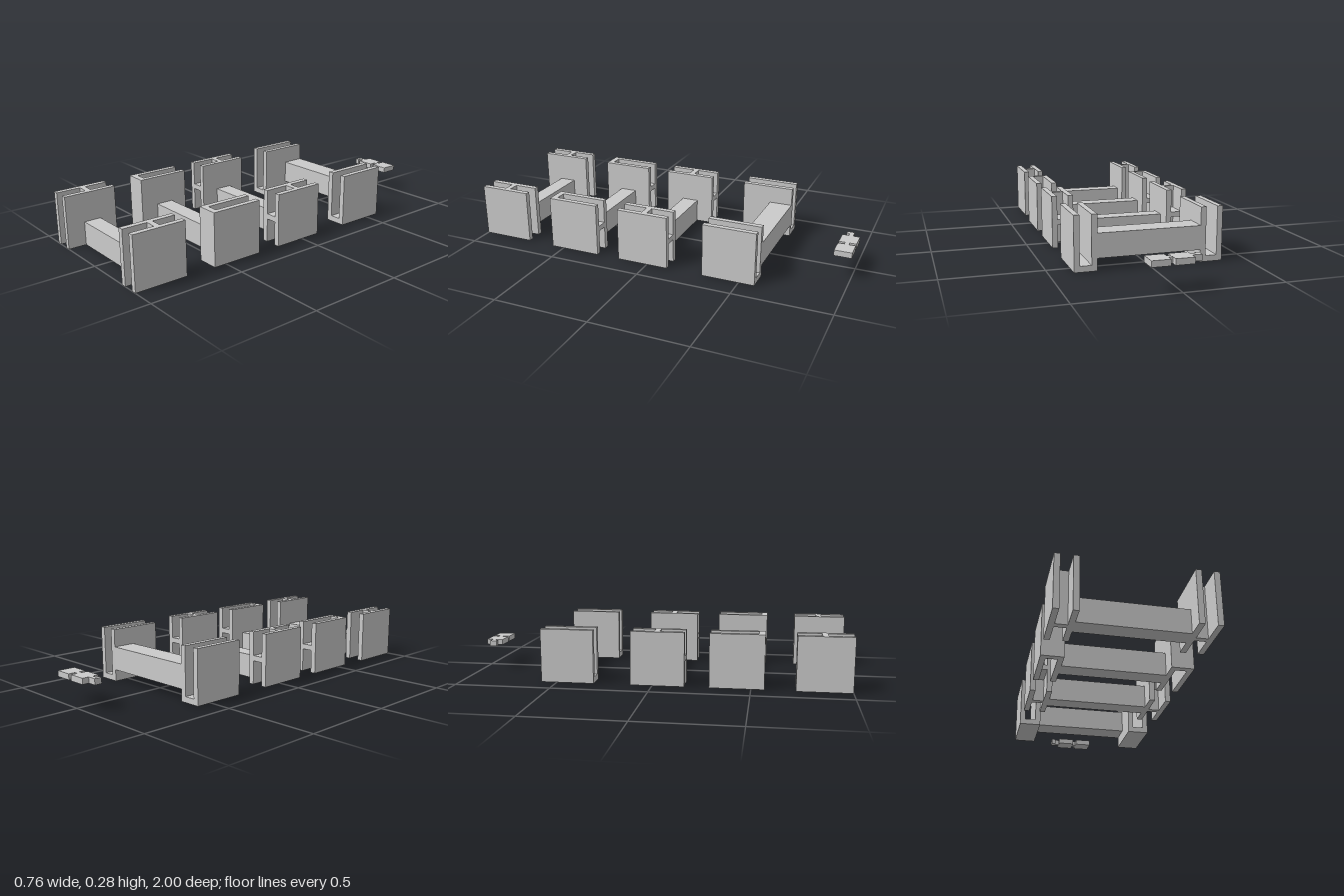
import * as THREE from 'three';

const material = new THREE.MeshStandardMaterial({ color: 0xcccccc, flatShading: true });

// Box given by its lower and upper limits on each axis
function block(parent, name, [x0, x1], [y0, y1], [z0, z1]) {
  const mesh = new THREE.Mesh(new THREE.BoxGeometry(x1 - x0, y1 - y0, z1 - z0), material);
  mesh.position.set((x0 + x1) / 2, (y0 + y1) / 2, (z0 + z1) / 2);
  mesh.name = name;
  parent.add(mesh);
}

const H = 0.278;       // plate height
const HALF = 0.0575;   // half width of an end bracket
const SLOT = 0.029;    // half width of the gap between plates
const SHELF = [0.125, 0.153];

// Each row: two double-plate end brackets joined by a crossbeam
const rows = [
  { name: 'frontRow', cx: -0.005, z: [0.722, 1], beamY: [0, 0.125], beamZ: [0.813, 0.904], web: [0.843, 0.872] },
  { name: 'closedFrontRow', cx: 0.0025, z: [0.29, 0.567], beamY: [0, 0.125], beamZ: [0.38, 0.472], web: [0.535, 0.567], shelf: SHELF },
  { name: 'crossRow', cx: 0.0025, z: [-0.112, 0.165], beamY: [0, 0.125], beamZ: [-0.022, 0.068], web: [0.008, 0.037], shelf: SHELF },
  { name: 'channelRow', cx: 0.0025, z: [-0.582, -0.305], beamY: [0.062, 0.185], beamZ: [-0.582, -0.46], shelf: [0, 0.03] },
];

function createRow({ name, cx, z, beamY, beamZ, web, shelf }) {
  const row = new THREE.Group();
  row.name = name;
  for (const side of [-1, 1]) {
    const bracket = new THREE.Group();
    bracket.name = side > 0 ? 'leftBracket' : 'rightBracket';
    bracket.position.x = cx + side * 0.3205;
    block(bracket, 'plate', [-HALF, -SLOT], [0, H], z);
    block(bracket, 'plate', [SLOT, HALF], [0, H], z);
    if (web) block(bracket, 'web', [-SLOT, SLOT], [0, H], web);
    if (shelf) {
      // The shelf is split around the web so faces do not overlap
      const spans = web ? [[z[0], web[0]], [web[1], z[1]]] : [z];
      for (const s of spans) if (s[1] - s[0] > 0.001) block(bracket, 'shelf', [-SLOT, SLOT], shelf, s);
    }
    row.add(bracket);
  }
  block(row, 'crossbeam', [cx - 0.263, cx + 0.263], beamY, beamZ);
  return row;
}

// Small flat hooked piece behind the rows
function createKey() {
  const key = new THREE.Group();
  key.name = 'hookedKey';
  const y = [0.125, 0.155];
  block(key, 'pad', [-0.055, 0.037], y, [-1, -0.91]);
  block(key, 'pad', [0.057, 0.148], y, [-1, -0.91]);
  block(key, 'link', [0.037, 0.057], y, [-0.965, -0.942]);
  block(key, 'arm', [-0.08, -0.055], y, [-0.965, -0.942]);
  block(key, 'hook', [-0.102, -0.08], y, [-0.965, -0.927]);
  return key;
}

export function createModel() {
  const model = new THREE.Group();
  model.name = 'bracketSet';
  for (const spec of rows) model.add(createRow(spec));
  model.add(createKey());
  return model;
}
